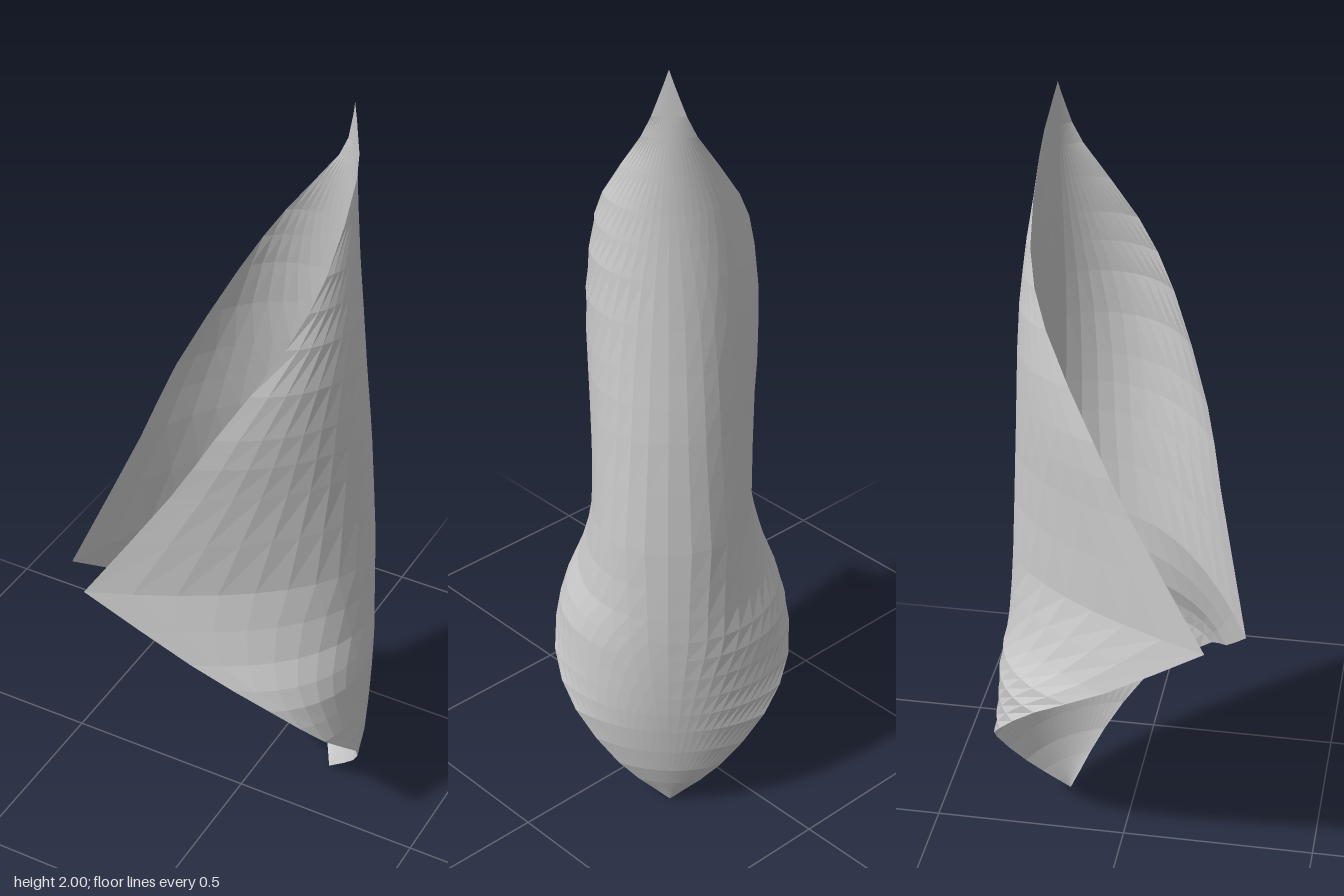
import * as THREE from 'three';

// Keys up the sheet: height, free edge x, free edge z, spine distance from the axis
const lower = [
  [0, 0.175, -0.175, 0.248], [0.035, 0.205, -0.155, 0.262], [0.13, 0.28, -0.1, 0.297],
  [0.27, 0.334, 0, 0.322], [0.38, 0.3, 0.115, 0.334], [0.5, 0.19, 0.2, 0.341],
  [0.62, 0, 0.26, 0.343], [0.81, -0.25, 0.337, 0.339],
];
const upper = [
  [0.81, -0.25, 0.337, 0.339], [1.1, -0.06, 0.245, 0.322], [1.27, 0.035, 0.197, 0.307],
  [1.5, 0.165, 0.095, 0.287], [1.66, 0.218, 0, 0.275], [1.84, 0.22, -0.133, 0.267],
  [1.93, 0.203, -0.168, 0.264], [2, 0.185, -0.185, 0.262],
];

const COLS = 12; // facets from spine to each free edge
const MAX_TURN = THREE.MathUtils.degToRad(113);

// Half of a level section, in (d, s): d runs out along the fold plane, s across it
function halfSection(edge, spine) {
  const d = (edge.x - edge.z) / Math.SQRT2;
  const s = Math.max(0, (edge.x + edge.z) / Math.SQRT2);
  const q = Math.max(0, spine - d);
  const chord = Math.hypot(q, s);
  const arc = 2 * Math.atan2(q, s);
  // A circular arc that straightens towards the edge once it has turned far enough
  const turn = Math.max(0.02, Math.min(arc, MAX_TURN));
  const extra = Math.max(0, arc / MAX_TURN - 1);
  const handle = (4 / 3) * Math.tan(turn / 4) * chord / (2 * Math.sin(turn / 2));
  const h0 = handle * (1 - 0.5 * extra), h1 = handle * (1 + extra);
  return new THREE.CubicBezierCurve(
    new THREE.Vector2(spine, 0),
    new THREE.Vector2(spine, h0),
    new THREE.Vector2(d + h1 * Math.sin(turn), s - h1 * Math.cos(turn)),
    new THREE.Vector2(d, s),
  );
}

// One full row of points, mirrored across the fold plane
function row(edge, spine) {
  const curve = halfSection(edge, spine);
  const points = [];
  for (let i = -COLS; i <= COLS; i++) {
    const p = curve.getPoint(Math.abs(i) / COLS);
    const s = Math.sign(i) * p.y;
    points.push((p.x + s) / Math.SQRT2, edge.y, (s - p.x) / Math.SQRT2);
  }
  return points;
}

function rowsFrom(keys, count) {
  const spline = (f) => new THREE.CatmullRomCurve3(keys.map(f), false, 'catmullrom', 0.5);
  const edge = spline(([y, x, z]) => new THREE.Vector3(x, y, z));
  const spine = spline(([y, , , r]) => new THREE.Vector3(r, y, 0));
  return Array.from({ length: count + 1 }, (_, i) =>
    row(edge.getPoint(i / count), spine.getPoint(i / count).x));
}

export function createModel() {
  const group = new THREE.Group();
  group.name = 'curledSheet';

  const rows = [...rowsFrom(lower, 14), ...rowsFrom(upper, 14).slice(1)];
  const width = 2 * COLS + 1;
  const index = [];
  for (let r = 0; r < rows.length - 1; r++) {
    for (let c = 0; c < width - 1; c++) {
      const a = r * width + c, b = a + width;
      index.push(a, b, a + 1, a + 1, b, b + 1);
    }
  }
  const geometry = new THREE.BufferGeometry();
  geometry.setAttribute('position', new THREE.Float32BufferAttribute(rows.flat(), 3));
  geometry.setIndex(index);
  geometry.computeVertexNormals();

  // Thin kite-shaped sheet rolled around its upright fold
  const sheet = new THREE.Mesh(geometry, new THREE.MeshStandardMaterial({
    color: 0xcccccc, flatShading: true, side: THREE.DoubleSide,
  }));
  sheet.name = 'sheet';
  group.add(sheet);
  return group;
}
